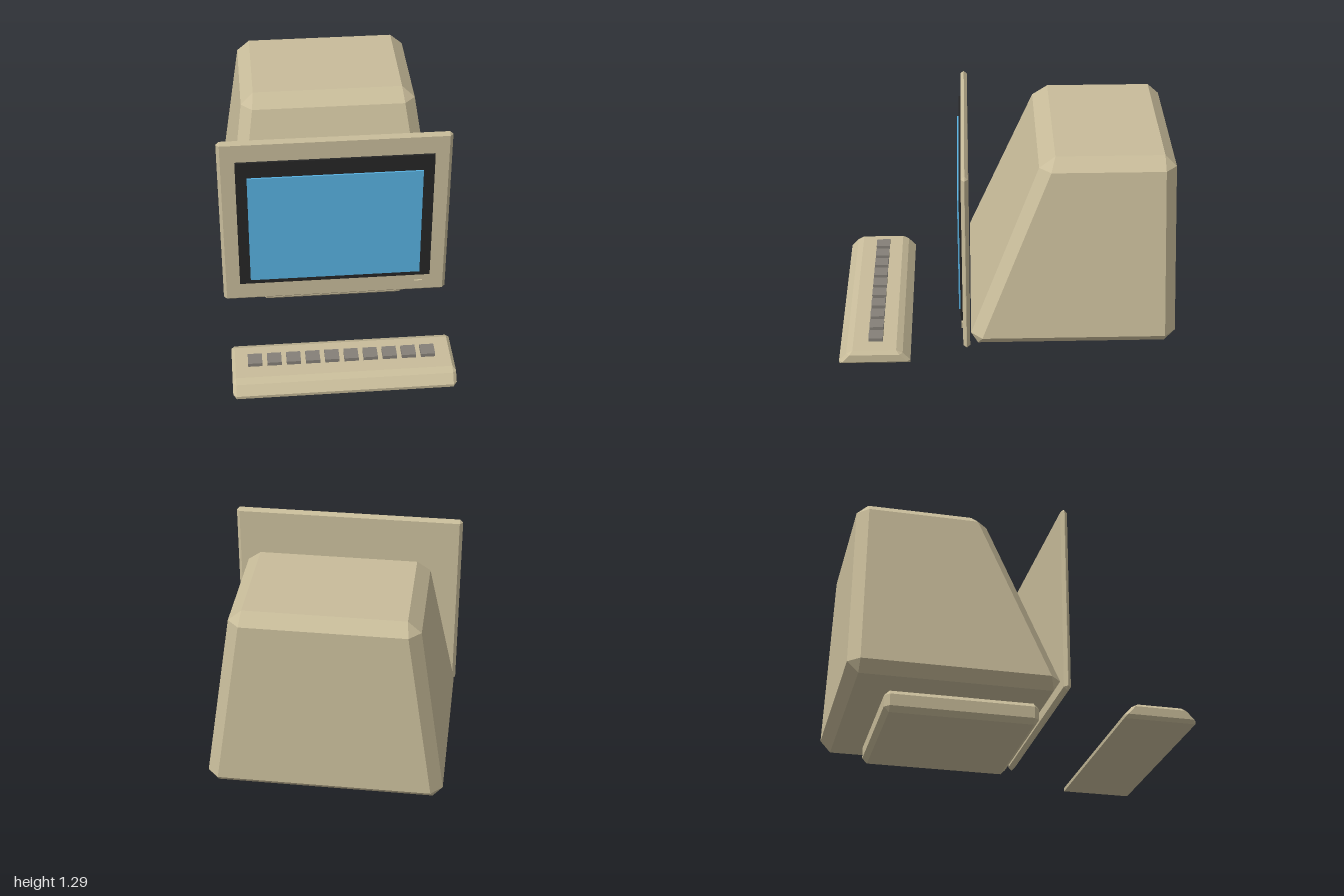
import * as THREE from 'three';
import { ConvexGeometry } from 'three/addons/geometries/ConvexGeometry.js';

const paint = (name, color) => {
  const m = new THREE.MeshStandardMaterial({ color });
  m.name = name;
  return m;
};

// Box with cut edges; half width, front z and back z change linearly from bottom to top edge.
// lower / upper = [halfWidth, frontZ, backZ] measured just inside the cuts.
function taperedBlock(y0, y1, cut, lower, upper) {
  const ya = y0 + cut, yb = y1 - cut;
  const at = (y, i) => lower[i] + (upper[i] - lower[i]) * (y - ya) / (yb - ya);
  const points = [];
  const addRing = (y, insetX, insetZ) => {
    for (const s of [-1, 1]) {
      const x = s * (at(y, 0) - insetX);
      points.push(new THREE.Vector3(x, y, at(y, 1) - insetZ));
      points.push(new THREE.Vector3(x, y, at(y, 2) + insetZ));
    }
  };
  for (const y of [y0, y1]) addRing(y, cut, cut);
  for (const y of [ya, yb]) {
    addRing(y, 0, cut);
    addRing(y, cut, 0);
  }
  return new ConvexGeometry(points);
}

// Plain box given by its limits
function boxBetween(x0, x1, y0, y1, z0, z1) {
  const g = new THREE.BoxGeometry(x1 - x0, y1 - y0, z1 - z0);
  return g.translate((x0 + x1) / 2, (y0 + y1) / 2, (z0 + z1) / 2);
}

export function createModel() {
  const beige = paint('beige plastic', 0xc8bc9a);
  const black = paint('black surround', 0x252525);
  const blue = paint('blue screen', 0x58b1e1);
  const grey = paint('grey keys', 0x858078);

  const model = new THREE.Group();
  model.name = 'desktopComputer';
  const add = (parent, name, geometry, material) => {
    const mesh = new THREE.Mesh(geometry, material);
    mesh.name = name;
    parent.add(mesh);
  };

  // Monitor: tapered housing, foot and separate front panel
  const monitor = new THREE.Group();
  monitor.name = 'monitor';
  model.add(monitor);
  add(monitor, 'housing',
    taperedBlock(0.13, 1.29, 0.066, [0.68, 0.21, -1.0], [0.527, -0.187, -0.968]), beige);
  const foot = [0.45, 0.135, -0.76];
  add(monitor, 'foot', taperedBlock(0, 0.13, 0.03, foot, foot), beige);
  const panel = [0.686, 0.257, 0.216];
  add(monitor, 'frontPanel', taperedBlock(0.125, 1.29, 0.019, panel, panel), beige);
  add(monitor, 'screenSurround', boxBetween(-0.583, 0.583, 0.263, 1.155, 0.25, 0.27), black);
  add(monitor, 'screen', boxBetween(-0.517, 0.517, 0.297, 1.05, 0.268, 0.28), blue);
  add(monitor, 'powerButton', boxBetween(0.49, 0.54, 0.175, 0.215, 0.25, 0.267), beige);

  // Keyboard with one row of keys
  const keyboard = new THREE.Group();
  keyboard.name = 'keyboard';
  model.add(keyboard);
  add(keyboard, 'keyboardCase',
    taperedBlock(0, 0.09, 0.02, [0.655, 1.0, 0.574], [0.655, 0.955, 0.619]), beige);
  for (let i = 0; i < 10; i++) {
    const x = -0.518 + i * 0.1135;
    add(keyboard, 'key', boxBetween(x - 0.042, x + 0.042, 0.085, 0.113, 0.74, 0.826), grey);
  }
  return model;
}
